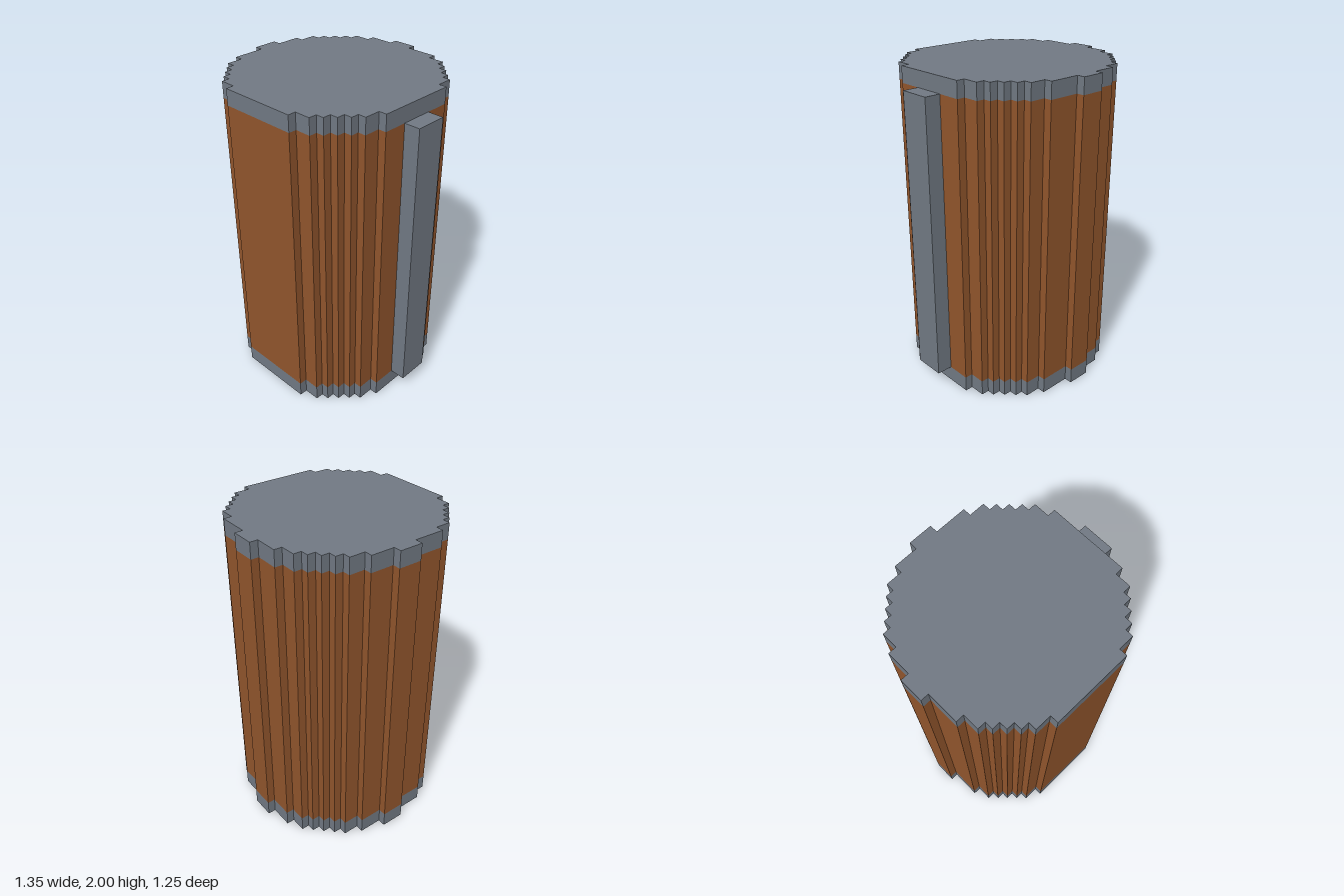
import * as THREE from 'three';

// Stepped edges of the round outline: [z where the step begins, x of the edge]
const leftSteps = [
  [-0.625, -0.125], [-0.575, -0.275], [-0.525, -0.375], [-0.475, -0.425],
  [-0.425, -0.475], [-0.375, -0.525], [-0.325, -0.575], [-0.225, -0.625],
  [-0.075, -0.675], [0.075, -0.625], [0.275, -0.575], [0.375, -0.525],
  [0.425, -0.475], [0.475, -0.425], [0.525, -0.375], [0.575, -0.275],
];
const rightSteps = [
  [-0.625, 0.025], [-0.575, 0.225], [-0.525, 0.325], [-0.475, 0.375],
  [-0.425, 0.425], [-0.375, 0.475], [-0.325, 0.525], [-0.225, 0.575],
  [0.275, 0.525], [0.375, 0.475], [0.425, 0.425], [0.475, 0.375],
  [0.525, 0.325], [0.575, 0.225],
];
const zEnd = 0.625;

// Turn a list of steps into staircase corners (shape y is -z)
function staircase(steps) {
  return steps.flatMap(([z, x], i) => {
    const next = i + 1 < steps.length ? steps[i + 1][0] : zEnd;
    return [new THREE.Vector2(x, -z), new THREE.Vector2(x, -next)];
  });
}

export function createModel() {
  const group = new THREE.Group();
  group.name = 'barrel';

  const metal = new THREE.MeshStandardMaterial({ color: 0x717983 });
  metal.name = 'grey metal';
  const wood = new THREE.MeshStandardMaterial({ color: 0x91552c });
  wood.name = 'brown wood';

  const outline = new THREE.Shape([...staircase(leftSteps), ...staircase(rightSteps).reverse()]);

  // One slice of the stepped cylinder between two heights
  function addSlice(name, y0, y1, material) {
    const geometry = new THREE.ExtrudeGeometry(outline, { depth: y1 - y0, bevelEnabled: false });
    geometry.rotateX(-Math.PI / 2);
    const mesh = new THREE.Mesh(geometry, material);
    mesh.name = name;
    mesh.position.y = y0;
    group.add(mesh);
  }
  addSlice('bottomRim', 0, 0.1, metal);
  addSlice('body', 0.1, 1.9, wood);
  addSlice('topRim', 1.9, 2, metal);

  // Upright bar on the left side
  const bar = new THREE.Mesh(new THREE.BoxGeometry(0.1, 1.8, 0.2), metal);
  bar.name = 'sideBar';
  bar.position.set(0.625, 1, 0.025);
  group.add(bar);

  return group;
}
